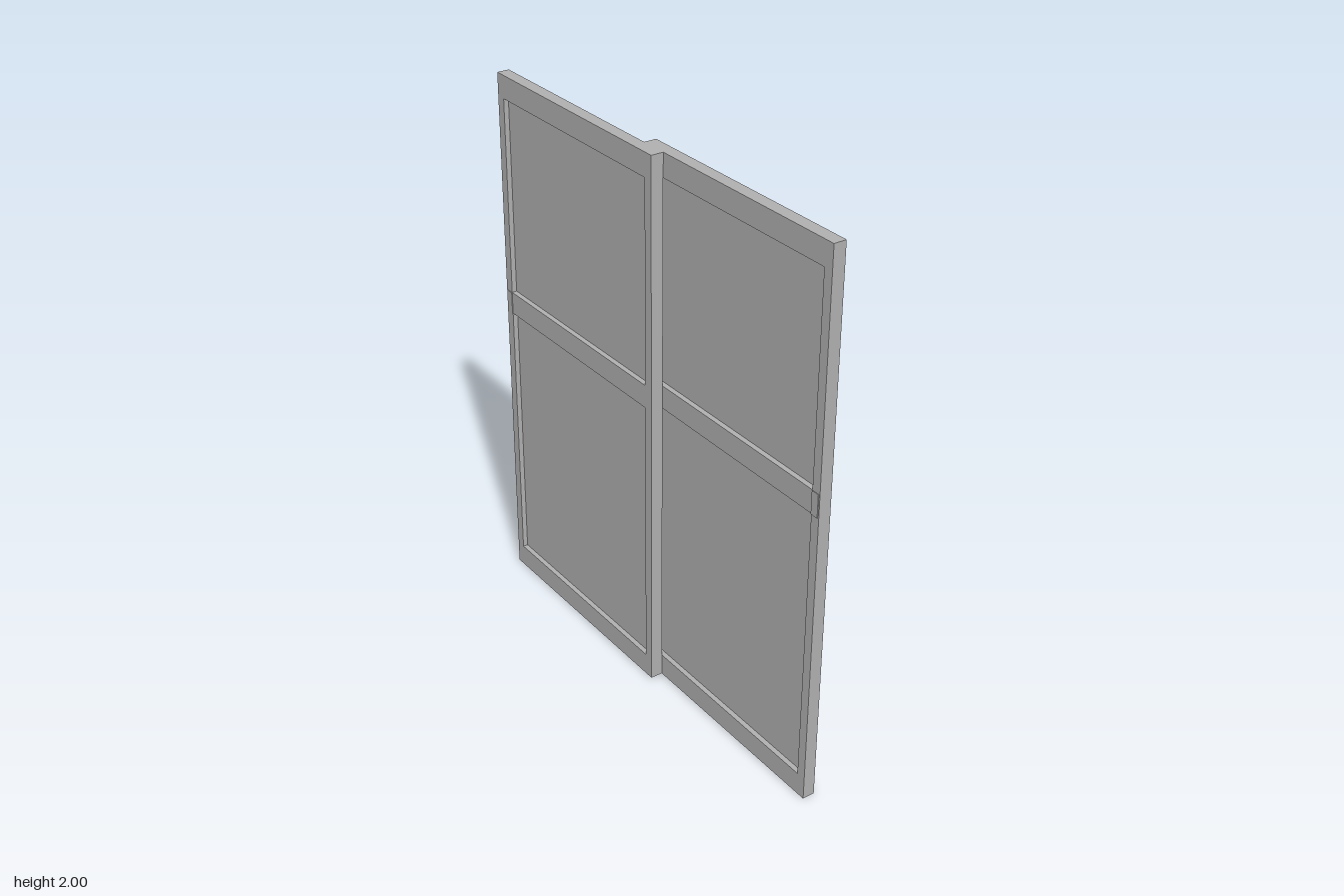
import * as THREE from 'three';

const grey = new THREE.MeshStandardMaterial({ color: 0xb0b0b0 });
grey.name = 'grey';

const DEPTH = 0.045, HALF = 0.453, MID_Y = 1.143;
const OPEN_X = 0.418;                              // half width of the openings
const OPENINGS = [[0.083, 1.102], [1.186, 1.916]]; // bottom and top of each

function add(parent, name, geometry, x = 0, y = 0, z = 0) {
  const mesh = new THREE.Mesh(geometry, grey);
  mesh.name = name;
  mesh.position.set(x, y, z);
  parent.add(mesh);
  return mesh;
}

function rectangle(Type, x0, y0, x1, y1) {
  return new Type([[x0, y0], [x1, y0], [x1, y1], [x0, y1]].map(p => new THREE.Vector2(...p)));
}

// One sash, with its outer stile at -x and its meeting stile at +x
function createSash(name) {
  const sash = new THREE.Group();
  sash.name = name;

  // Frame with two openings; the meeting stile matches the outer one
  const outline = rectangle(THREE.Shape, -HALF, 0, HALF, 2);
  for (const [low, high] of OPENINGS) {
    outline.holes.push(rectangle(THREE.Path, -OPEN_X, low, OPEN_X, high));
  }
  add(sash, 'frame', new THREE.ExtrudeGeometry(outline, { depth: DEPTH, bevelEnabled: false }), 0, 0, -DEPTH / 2);

  // Recessed panes
  for (const [low, high] of OPENINGS) {
    add(sash, 'pane', new THREE.BoxGeometry(OPEN_X * 2, high - low, 0.008), 0, (low + high) / 2, 0);
  }

  // Thin grip plates on both faces of the outer stile
  for (const side of [-1, 1]) {
    add(sash, 'gripPlate', new THREE.BoxGeometry(0.03, 0.084, 0.003), -HALF + 0.02, MID_Y, side * (DEPTH / 2 + 0.001));
  }
  return sash;
}

// Latch on the edge of the meeting stile, pointing along +x
function createLatch() {
  const latch = new THREE.Group();
  latch.name = 'latch';
  add(latch, 'latchPlate', new THREE.BoxGeometry(0.006, 0.09, 0.034), 0.002, 0, 0);

  // Hook drawn in the xy plane
  const hook = new THREE.Shape();
  hook.moveTo(0, -0.022);
  hook.lineTo(0.016, -0.022);
  hook.quadraticCurveTo(0.024, -0.018, 0.024, -0.008);
  hook.lineTo(0.024, 0.034);
  hook.lineTo(0.015, 0.03);
  hook.lineTo(0.015, 0.004);
  hook.lineTo(0, 0.004);
  hook.closePath();
  add(latch, 'latchHook', new THREE.ExtrudeGeometry(hook, { depth: 0.016, bevelEnabled: false, curveSegments: 6 }), 0, 0, -0.008);
  return latch;
}

export function createModel() {
  const model = new THREE.Group();
  model.name = 'slidingWindow';

  const front = createSash('frontSash');
  front.position.set(-0.402, 0, DEPTH / 2);

  // The rear sash is turned around and carries the latch
  const rear = createSash('rearSash');
  rear.rotation.y = Math.PI;
  rear.position.set(0.402, 0, -DEPTH / 2);
  const latch = createLatch();
  latch.position.set(HALF, MID_Y, 0);
  rear.add(latch);

  model.add(front, rear);
  return model;
}
